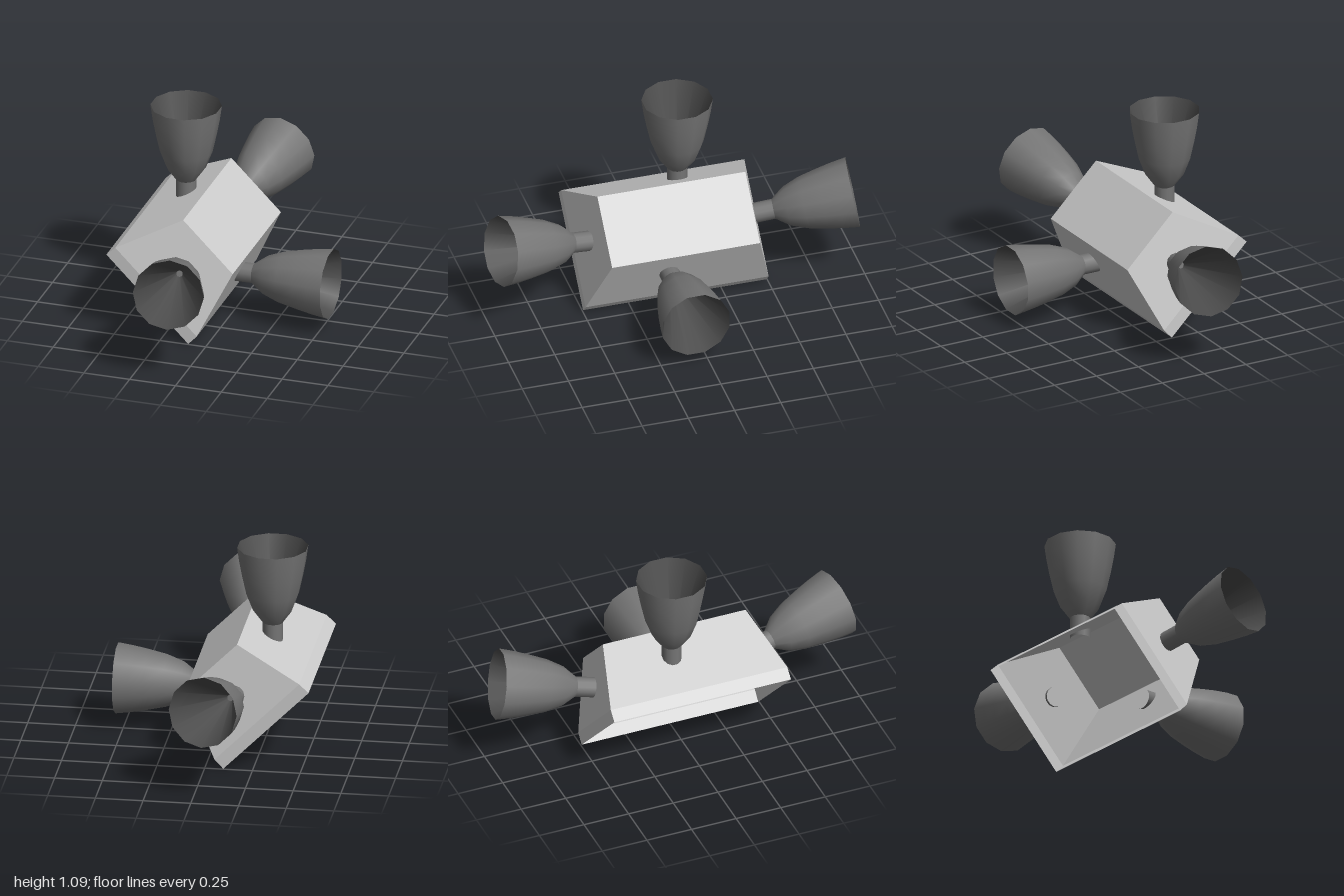
import * as THREE from 'three';

const SIDES = 12;
const bodyGrey = new THREE.MeshStandardMaterial({ color: 0xcccccc, side: THREE.DoubleSide });
bodyGrey.name = 'bodyGrey';
const nozzleGrey = new THREE.MeshStandardMaterial({ color: 0x757575 });
nozzleGrey.name = 'nozzleGrey';
const innerGrey = new THREE.MeshStandardMaterial({ color: 0x4c4c4c });
innerGrey.name = 'innerGrey';

// Hollow housing, open at its base: stacked rectangles [height, half width, half depth]
function housingGeometry() {
  const rings = [[0, 0.316, 0.495], [0.067, 0.314, 0.495], [0.424, 0.191, 0.4]].map(([h, w, d]) =>
    [[w, d], [w, -d], [-w, -d], [-w, d]].map(([x, z]) => [x, h, z]));
  const pos = [];
  const quad = (a, b, c, d) => pos.push(...a, ...b, ...c, ...a, ...c, ...d);
  for (let i = 0; i < rings.length - 1; i++) {
    for (let k = 0; k < 4; k++) {
      const n = (k + 1) % 4;
      quad(rings[i][k], rings[i][n], rings[i + 1][n], rings[i + 1][k]);
    }
  }
  quad(...rings[rings.length - 1]);
  const g = new THREE.BufferGeometry();
  g.setAttribute('position', new THREE.Float32BufferAttribute(pos, 3));
  g.computeVertexNormals();
  return g;
}

function turned(name, profile, material) {
  const points = profile.map(([r, y]) => new THREE.Vector2(r, y));
  const mesh = new THREE.Mesh(new THREE.LatheGeometry(points, SIDES, Math.PI / SIDES), material);
  mesh.name = name;
  return mesh;
}

// Nozzle along +y, with the start of its bell at the origin
function makeNozzle(name) {
  const nozzle = new THREE.Group();
  nozzle.name = name;
  nozzle.add(
    turned('neck', [[0.053, -0.115], [0.053, 0]], nozzleGrey),
    turned('bell', [[0.053, 0], [0.104, 0.07], [0.138, 0.16], [0.16, 0.26], [0.175, 0.34], [0.186, 0.42]], nozzleGrey),
    turned('bellInside', [[0.186, 0.42], [0.017, -0.03]], innerGrey),
    turned('throat', [[0.017, -0.03], [0, -0.03]], nozzleGrey),
  );
  return nozzle;
}

export function createModel() {
  const model = new THREE.Group();
  model.name = 'thrusterBlock';

  // The whole block leans 45 degrees about the long axis
  const block = new THREE.Group();
  block.name = 'block';
  block.position.set(-0.32, 0.225, 0);
  block.rotation.z = -Math.PI / 4;
  model.add(block);

  const housing = new THREE.Mesh(housingGeometry(), bodyGrey);
  housing.name = 'housing';
  block.add(housing);

  // Side nozzles, staggered along the block
  for (const s of [1, -1]) {
    const side = makeNozzle(s > 0 ? 'leftNozzle' : 'topNozzle');
    side.position.set(s * 0.295, 0.331, s * 0.072);
    side.rotation.z = -s * Math.PI / 4;
    block.add(side);

    // End nozzles, tilted 15 degrees outwards
    const end = makeNozzle(s > 0 ? 'frontNozzle' : 'backNozzle');
    end.position.set(0, 0.266, s * 0.545);
    end.rotation.x = s * THREE.MathUtils.degToRad(75);
    block.add(end);
  }
  return model;
}
